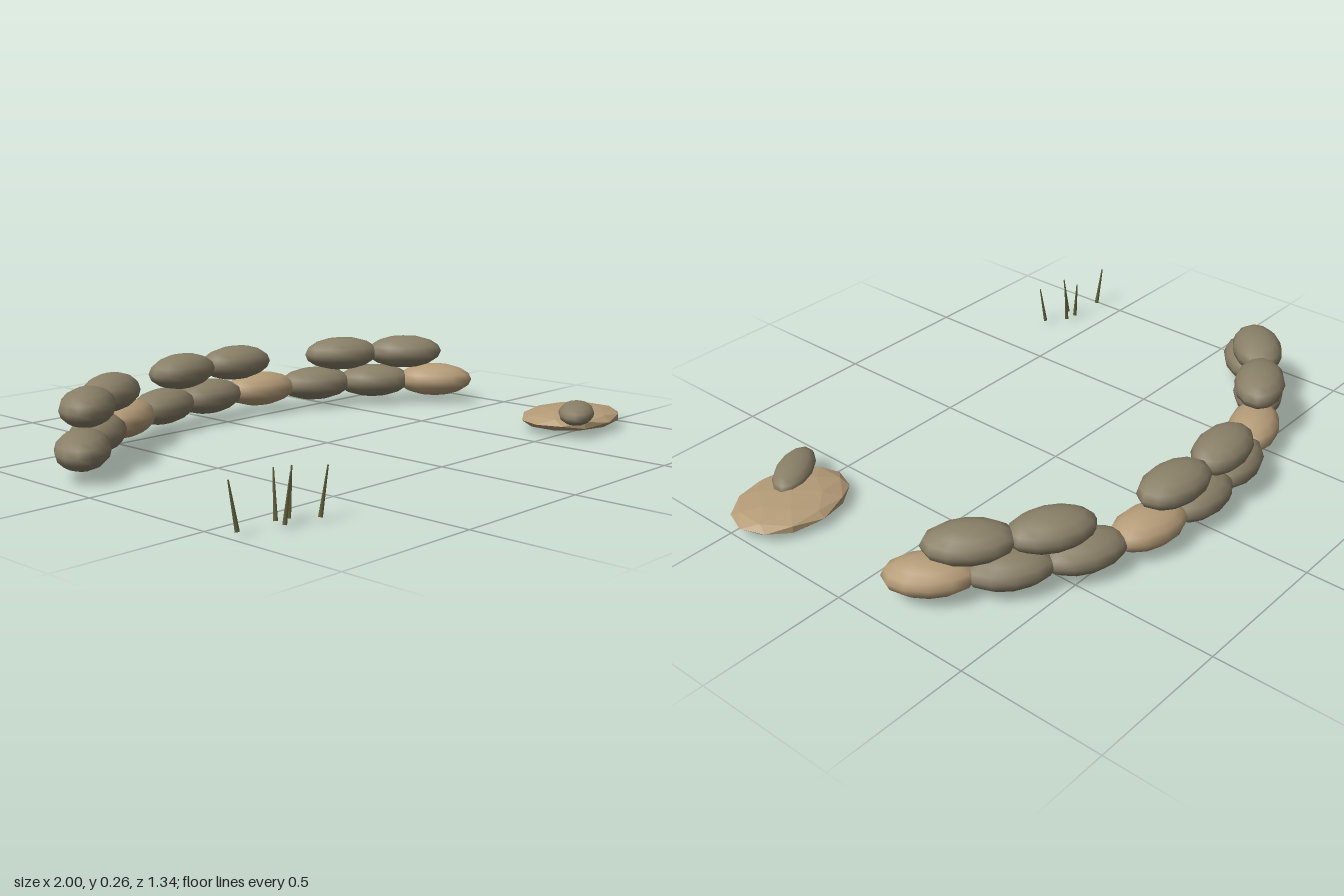
import * as THREE from 'three';

const bagOlive = new THREE.MeshStandardMaterial({ name: 'olive sack', color: 0x8a8068 });
const bagTan = new THREE.MeshStandardMaterial({ name: 'tan sack', color: 0xb59c78 });
const grass = new THREE.MeshStandardMaterial({ name: 'dry grass', color: 0x6b6945 });
const rockTan = bagTan.clone();
rockTan.name = 'tan rock';
rockTan.flatShading = true;

const RADIUS = 1.143;   // wall arc
const STEP = 0.2073;    // angle between neighbouring bags
const CENTRE_X = -0.02, CENTRE_Z = 0.563;
const sackGeometry = new THREE.SphereGeometry(1, 12, 8);

function ellipsoid(name, material, size, position, yaw) {
  const mesh = new THREE.Mesh(sackGeometry, material);
  mesh.name = name;
  mesh.scale.set(...size);
  mesh.position.set(...position);
  mesh.rotation.y = yaw;
  return mesh;
}

// A bag lying along the arc; slot 0 is the middle of the wall
function sandbag(name, material, slot, y) {
  const a = slot * STEP;
  return ellipsoid(name, material, [0.145, 0.062, 0.088],
    [CENTRE_X + RADIUS * Math.sin(a), y, CENTRE_Z - RADIUS * Math.cos(a)], -a);
}

export function createModel() {
  const model = new THREE.Group();
  model.name = 'sandbagPosition';

  // Curved wall: full lower row, gapped upper row
  const wall = new THREE.Group();
  wall.name = 'sandbagWall';
  for (let i = 0; i < 9; i++) {
    wall.add(sandbag('lowerSandbag', i % 3 === 2 ? bagTan : bagOlive, i - 4, 0.09));
  }
  for (const slot of [-3.5, -2.45, -0.55, 0.55, 2.45, 3.5]) {
    wall.add(sandbag('upperSandbag', bagOlive, slot, 0.2));
  }
  model.add(wall);

  // Flat rock with a small loose bag on its edge
  const rock = new THREE.Mesh(new THREE.IcosahedronGeometry(1, 1), rockTan);
  rock.name = 'flatRock';
  rock.scale.set(0.21, 0.039, 0.16);
  rock.position.set(0.79, 0.041, 0.45);
  model.add(rock);
  model.add(ellipsoid('looseSandbag', bagOlive, [0.132, 0.038, 0.062], [0.703, 0.077, 0.53], 0.54));

  // Grass tuft: x, z of each blade, with its lean in x and z
  const tuft = new THREE.Group();
  tuft.name = 'grassTuft';
  const blades = [
    [-0.985, 0.597, -0.025, -0.006],
    [-0.826, 0.59, 0.012, -0.02],
    [-0.778, 0.602, 0.02, -0.008],
    [-0.83, 0.645, 0.018, 0.006],
    [-0.708, 0.663, 0.024, 0.006],
  ];
  const bladeGeometry = new THREE.CylinderGeometry(0.003, 0.009, 0.145, 4);
  for (const [x, z, leanX, leanZ] of blades) {
    const blade = new THREE.Mesh(bladeGeometry, grass);
    blade.name = 'grassBlade';
    blade.position.set(x, 0.088, z);
    blade.quaternion.setFromUnitVectors(new THREE.Vector3(0, 1, 0),
      new THREE.Vector3(leanX, 0.145, leanZ).normalize());
    tuft.add(blade);
  }
  model.add(tuft);
  return model;
}
